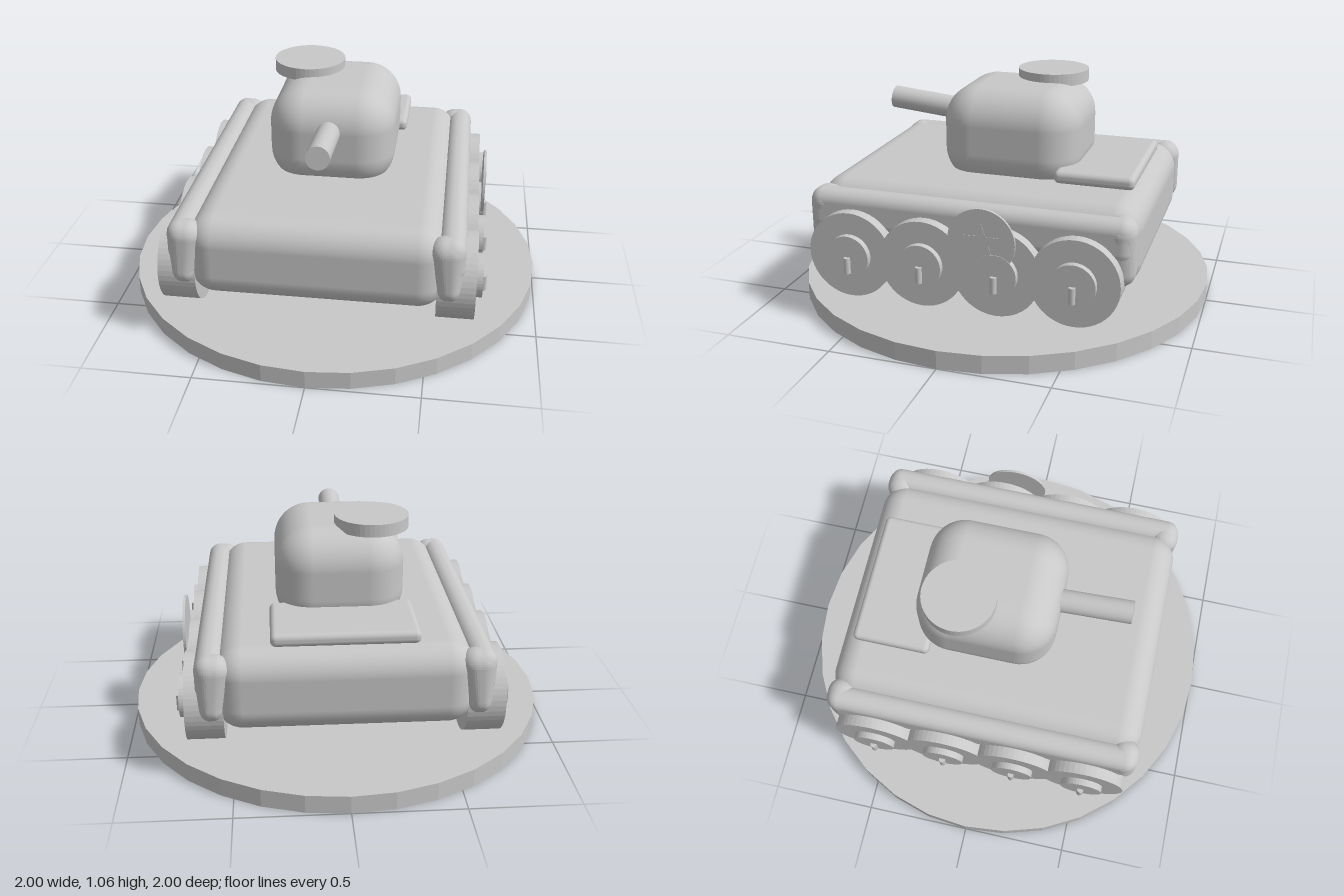
import * as THREE from 'three';
import { RoundedBoxGeometry } from 'three/addons/geometries/RoundedBoxGeometry.js';

const grey = new THREE.MeshStandardMaterial({ color: 0xc8c8c8 });
grey.name = 'plain grey';

function add(parent, name, geometry, x = 0, y = 0, z = 0) {
  const mesh = new THREE.Mesh(geometry, grey);
  mesh.name = name;
  mesh.position.set(x, y, z);
  parent.add(mesh);
  return mesh;
}

// Faceted copy of a geometry
function faceted(geometry) {
  const g = geometry.toNonIndexed();
  g.computeVertexNormals();
  return g;
}

// Faceted disc whose axis runs along x
const sideDisc = (r, width, sides) =>
  faceted(new THREE.CylinderGeometry(r, r, width, sides).rotateZ(-Math.PI / 2));

// Drooping end of a fender: wide at the top, pulled in at the lower inner side
function fenderEnd(side) {
  const g = new RoundedBoxGeometry(0.16, 0.305, 0.14, 6, 0.068);
  const p = g.attributes.position;
  for (let i = 0; i < p.count; i++) {
    const t = THREE.MathUtils.smoothstep(0.06 - p.getY(i), 0, 0.14);
    const x = p.getX(i) * side;
    p.setX(i, side * (x * (1 - 0.31 * t) + 0.012 * t));
  }
  g.computeVertexNormals();
  return g;
}

function starShape(r) {
  const points = [];
  for (let i = 0; i < 10; i++) {
    const a = Math.PI / 2 + (i * Math.PI) / 5;
    const k = i % 2 ? r * 0.4 : r;
    points.push(new THREE.Vector2(k * Math.cos(a), k * Math.sin(a)));
  }
  return new THREE.Shape(points);
}

export function createModel() {
  const tank = new THREE.Group();
  tank.name = 'toyTank';

  // Display base
  add(tank, 'base', faceted(new THREE.CylinderGeometry(1, 1, 0.085, 32)), 0, 0.0425, 0);

  // Hull and rear deck plate
  add(tank, 'hull', new RoundedBoxGeometry(1.14, 0.385, 1.51, 6, 0.12), 0, 0.4325, 0);
  add(tank, 'rearPlate', new RoundedBoxGeometry(0.65, 0.06, 0.37, 4, 0.025), 0, 0.66, -0.5);

  // Turret with gun and hatch
  const turret = new THREE.Group();
  turret.name = 'turret';
  tank.add(turret);
  add(turret, 'turretBody', new RoundedBoxGeometry(0.59, 0.47, 0.66, 6, 0.17), 0, 0.785, -0.07);
  add(turret, 'hatch', faceted(new THREE.CylinderGeometry(0.17, 0.17, 0.058, 48)), -0.15, 1.031, -0.187);
  const gun = add(turret, 'gunBarrel', new THREE.CylinderGeometry(0.054, 0.054, 0.45, 32), 0, 0.87, 0.362);
  gun.rotation.x = Math.PI / 2 - 0.1;

  // Fenders and wheels, mirrored
  for (const side of [-1, 1]) {
    const label = side > 0 ? 'left' : 'right';
    const running = new THREE.Group();
    running.name = label + 'RunningGear';
    tank.add(running);

    add(running, 'fender', new RoundedBoxGeometry(0.122, 0.2, 1.5, 5, 0.058), side * 0.592, 0.505, 0);
    for (const end of [-1, 1]) {
      add(running, 'fenderEnd', fenderEnd(side), side * 0.575, 0.4525, end * 0.686);
    }

    for (const z of [0.523, 0.178, -0.167, -0.514]) {
      add(running, 'wheel', sideDisc(0.2, 0.17, 48), side * 0.62, 0.33, z);
      add(running, 'hub', sideDisc(0.1, 0.035, 40), side * 0.718, 0.33, z);
      add(running, 'hubPin', new THREE.CylinderGeometry(0.015, 0.015, 0.075, 16), side * 0.74, 0.293, z);
    }
  }

  // Round side plate with a thin star
  const badge = new THREE.Group();
  badge.name = 'sidePlate';
  badge.position.set(0.727, 0.48, -0.11);
  tank.add(badge);
  add(badge, 'plateDisc', sideDisc(0.152, 0.012, 48));
  const star = new THREE.ExtrudeGeometry(starShape(0.09), { depth: 0.003, bevelEnabled: false });
  add(badge, 'plateStar', star.rotateY(Math.PI / 2), 0.005, 0, 0);

  return tank;
}
